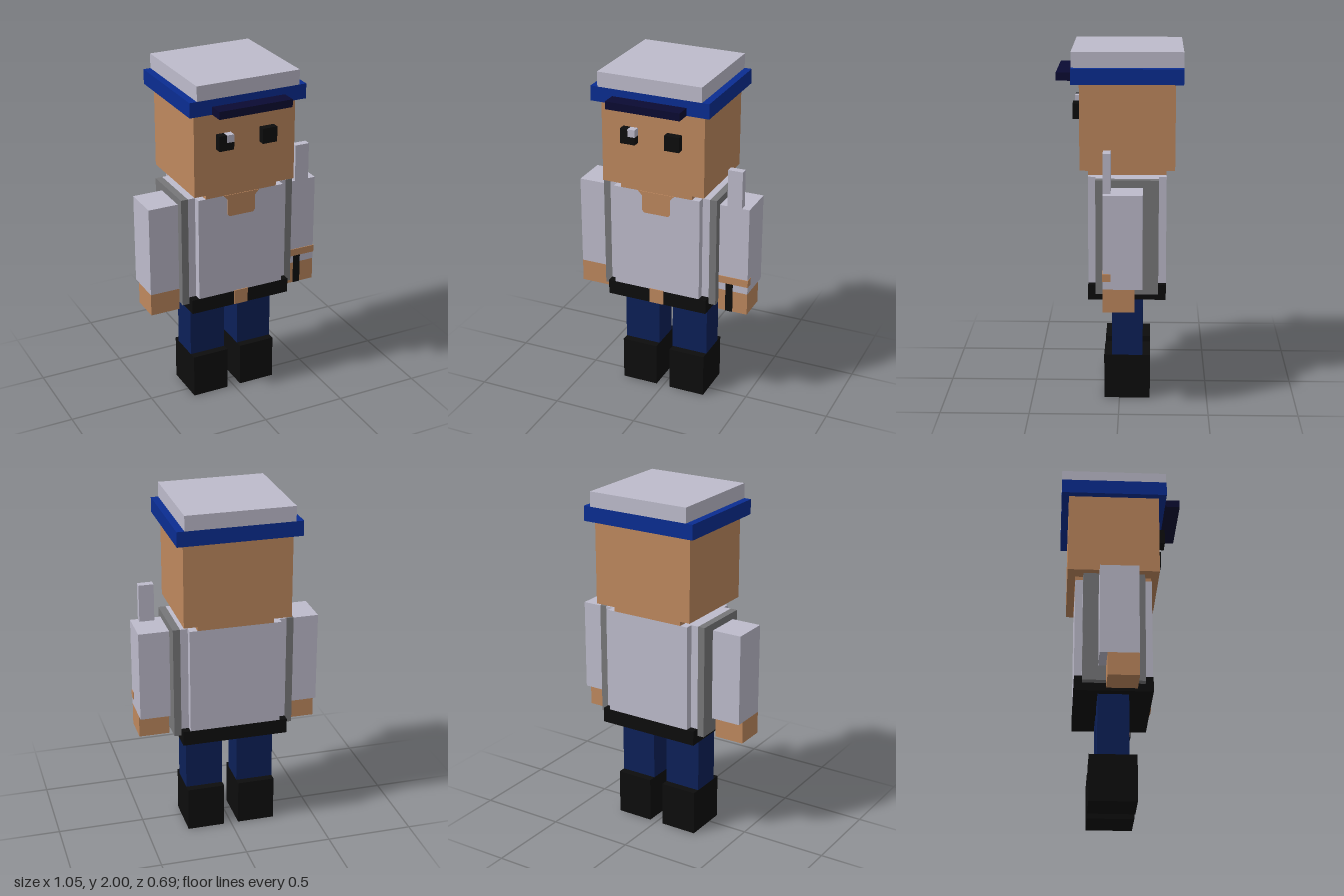
import * as THREE from 'three';

const material = (name, color) => {
  const m = new THREE.MeshStandardMaterial({ color });
  m.name = name;
  return m;
};

export function createModel() {
  const cloth = material('pale grey cloth', 0xbdbbcb);
  const skin = material('skin', 0xbe885e);
  const blue = material('hat blue', 0x0a2d92);
  const navy = material('trouser navy', 0x0c2058);
  const visorNavy = material('visor navy', 0x0b0b33);
  const black = material('black', 0x0d0d0d);
  const grey = material('side grey', 0x777779);

  const model = new THREE.Group();
  model.name = 'officerFigure';

  // Box given by its minimum and maximum on each axis
  const box = (name, mat, [x0, x1], [y0, y1], [z0, z1], parent = model) => {
    const mesh = new THREE.Mesh(new THREE.BoxGeometry(x1 - x0, y1 - y0, z1 - z0), mat);
    mesh.position.set((x0 + x1) / 2, (y0 + y1) / 2, (z0 + z1) / 2);
    mesh.name = name;
    parent.add(mesh);
    return mesh;
  };

  // The same box on both sides of the body
  const pair = (name, mat, [x0, x1], y, z) => {
    box('left' + name, mat, [x0, x1], y, z);
    box('right' + name, mat, [-x1, -x0], y, z);
  };

  // Legs
  pair('Boot', black, [0.043, 0.26], [0, 0.262], [-0.174, 0.087]);
  pair('TrouserLeg', navy, [0.043, 0.26], [0.262, 0.61], [-0.13, 0.043]);

  // Belt and buckle
  box('belt', black, [-0.305, 0.305], [0.61, 0.696], [-0.26, 0.174]);
  box('buckle', skin, [-0.043, 0.043], [0.612, 0.7], [0.172, 0.179]);

  // Shirt with stepped sides and grey side panels
  box('shirt', cloth, [-0.262, 0.262], [0.696, 1.306], [-0.26, 0.174]);
  pair('ShirtSide', cloth, [0.262, 0.305], [0.696, 1.306], [-0.217, 0.13]);
  pair('SidePanel', grey, [0.305, 0.346], [0.655, 1.306], [-0.217, 0.13]);

  // Open collar, a thin plate that narrows downwards
  const collarShape = new THREE.Shape([
    [-0.11, 1.306], [-0.085, 1.28], [-0.085, 1.19], [-0.073, 1.177],
    [0.073, 1.177], [0.085, 1.19], [0.085, 1.28], [0.11, 1.306],
  ].map(([x, y]) => new THREE.Vector2(x, y)));
  const collar = new THREE.Mesh(
    new THREE.ExtrudeGeometry(collarShape, { depth: 0.006, bevelEnabled: false }), skin);
  collar.position.z = 0.172;
  collar.name = 'openCollar';
  model.add(collar);

  // Arms and hands
  pair('Sleeve', cloth, [0.346, 0.521], [0.74, 1.265], [-0.13, 0.085]);
  pair('Hand', skin, [0.346, 0.521], [0.61, 0.74], [-0.087, 0.085]);

  // Baton held against the left arm
  box('batonTop', cloth, [0.39, 0.476], [1.265, 1.482], [0.043, 0.085]);
  box('thumbBand', skin, [0.346, 0.524], [0.785, 0.828], [0.043, 0.089]);
  box('batonGrip', black, [0.39, 0.433], [0.61, 0.785], [0.082, 0.089]);

  // Neck and head
  box('neck', skin, [-0.217, 0.217], [1.306, 1.35], [-0.26, 0.174]);
  box('head', skin, [-0.305, 0.305], [1.35, 1.83], [-0.305, 0.217]);

  // Eyes; the right one has a pale corner
  box('leftEye', black, [0.087, 0.174], [1.61, 1.697], [0.217, 0.26]);
  box('rightEyeOuter', black, [-0.174, -0.13], [1.61, 1.697], [0.217, 0.26]);
  box('rightEyeLower', black, [-0.13, -0.087], [1.61, 1.654], [0.217, 0.26]);
  box('rightEyeGlint', cloth, [-0.13, -0.087], [1.654, 1.697], [0.217, 0.26]);

  // Cap
  const cap = new THREE.Group();
  cap.name = 'cap';
  model.add(cap);
  box('capBand', blue, [-0.347, 0.347], [1.83, 1.915], [-0.347, 0.26], cap);
  box('capCrown', cloth, [-0.305, 0.305], [1.915, 2], [-0.347, 0.26], cap);
  box('capVisor', visorNavy, [-0.217, 0.217], [1.83, 1.874], [0.26, 0.347], cap);

  return model;
}
